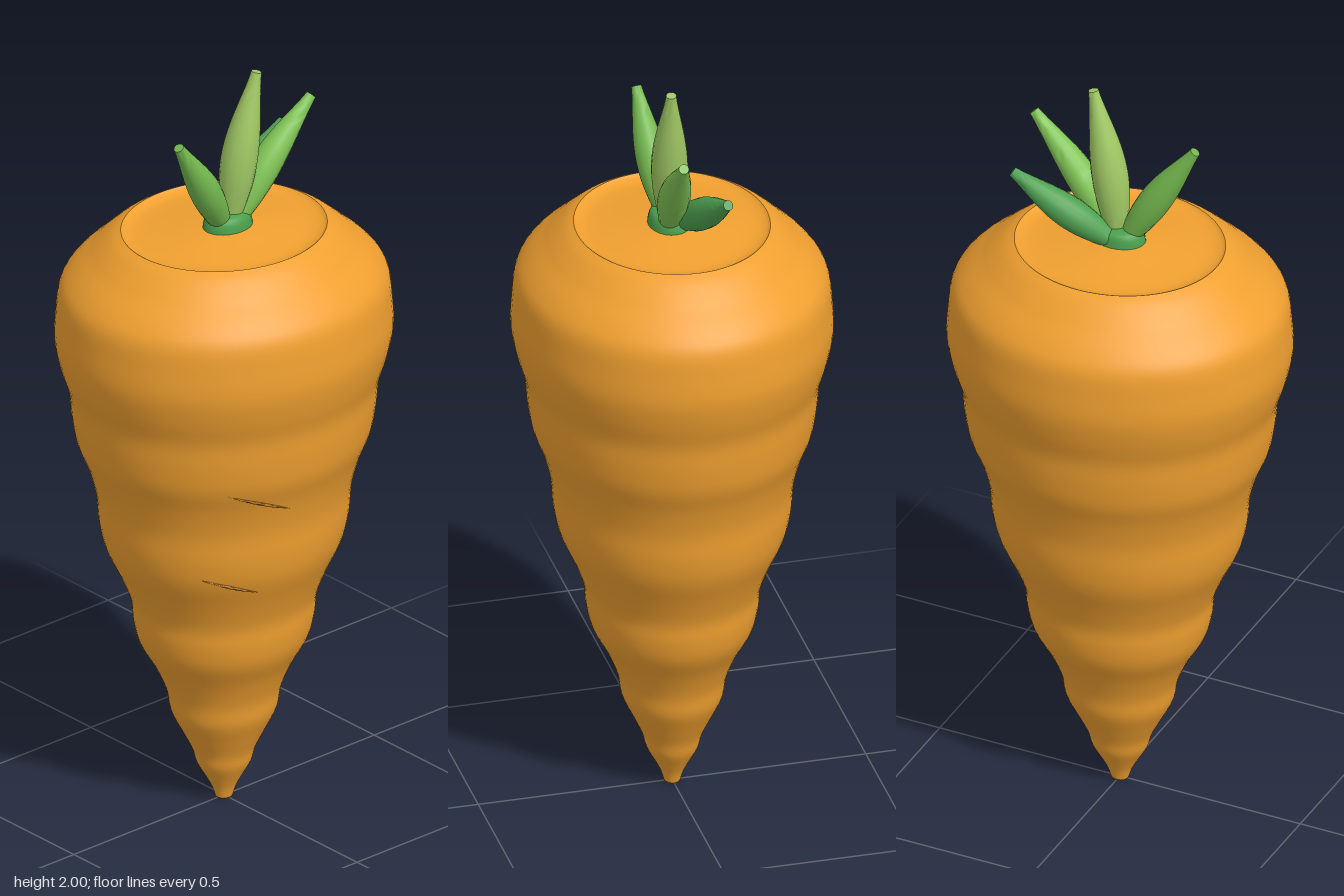
import * as THREE from 'three';
import { toCreasedNormals } from 'three/addons/utils/BufferGeometryUtils.js';

const DEPTH = 0.91; // the root is slightly flattened front to back

// Root silhouette: [radius, height], from tip to shoulder
const PROFILE = [
  [0.022, 0], [0.032, 0.03], [0.048, 0.06], [0.071, 0.1], [0.083, 0.14], [0.108, 0.19],
  [0.138, 0.25], [0.15, 0.31], [0.18, 0.38], [0.22, 0.45], [0.236, 0.51], [0.243, 0.57],
  [0.27, 0.64], [0.308, 0.72], [0.325, 0.79], [0.333, 0.87], [0.355, 0.95], [0.383, 1.02],
  [0.396, 1.09], [0.404, 1.16], [0.426, 1.23], [0.44, 1.3], [0.437, 1.37], [0.427, 1.44],
  [0.395, 1.485], [0.35, 1.525], [0.328, 1.545], [0.295, 1.572], [0.268, 1.587],
];
// Shallow dished top, from rim to centre
const DISH = [[0.268, 1.587], [0.256, 1.58], [0.225, 1.576], [0.15, 1.583], [0.07, 1.592], [0, 1.596]];

const spline = (pts, n) => new THREE.SplineCurve(pts.map(p => new THREE.Vector2(...p))).getPoints(n);
const material = (color, extra = {}) => new THREE.MeshStandardMaterial({ color, ...extra });

function addMesh(parent, name, geometry, color) {
  const mesh = new THREE.Mesh(geometry, material(color));
  mesh.name = name;
  parent.add(mesh);
  return mesh;
}

// Tube of varying radius with flat closed ends
function taperedTube(points, radiusAt, rings = 22, sides = 16) {
  const curve = new THREE.CatmullRomCurve3(points.map(p => new THREE.Vector3(...p)));
  const geo = new THREE.TubeGeometry(curve, rings, 1, sides);
  const pos = geo.attributes.position;
  const v = new THREE.Vector3();
  for (let i = 0; i <= rings; i++) {
    const centre = curve.getPointAt(i / rings);
    const t = THREE.MathUtils.clamp((i - 1) / (rings - 2), 0, 1);
    const r = i === 0 || i === rings ? 0 : radiusAt(t);
    const target = curve.getPointAt(t);
    for (let j = 0; j <= sides; j++) {
      const k = i * (sides + 1) + j;
      v.fromBufferAttribute(pos, k).sub(centre).multiplyScalar(r).add(target);
      pos.setXYZ(k, v.x, v.y, v.z);
    }
  }
  return toCreasedNormals(geo, 0.9);
}

// Root radius at a height
function rootRadius(y) {
  const i = PROFILE.findIndex(p => p[1] > y);
  const [r0, y0] = PROFILE[i - 1], [r1, y1] = PROFILE[i];
  return THREE.MathUtils.mapLinear(y, y0, y1, r0, r1);
}

export function createModel() {
  const model = new THREE.Group();
  model.name = 'carrot';

  // Root body and its dished top
  const body = new THREE.LatheGeometry([new THREE.Vector2(0, 0), ...spline(PROFILE, 110)], 72);
  addMesh(model, 'root', body.scale(1, 1, DEPTH), 0xf0a030);
  const dish = new THREE.LatheGeometry(spline(DISH, 20), 72);
  addMesh(model, 'rootTop', dish.scale(1, 1, DEPTH), 0xf0a030);

  // Thin creases lying on the front of the root
  for (const [x0, y0, x1, y1] of [[-0.23, 1.01, -0.06, 0.937], [-0.253, 0.752, -0.1, 0.692]]) {
    const points = [];
    for (let i = 0; i <= 6; i++) {
      const x = THREE.MathUtils.lerp(x0, x1, i / 6);
      const y = THREE.MathUtils.lerp(y0, y1, i / 6);
      const z = DEPTH * Math.sqrt(rootRadius(y) ** 2 - x * x);
      points.push([x, y, z]);
    }
    addMesh(model, 'crease', taperedTube(points, t => 0.0005 + 0.004 * Math.sin(Math.PI * t), 16, 8), 0xc07c22);
  }

  // Leaves growing from a small crown
  const leaves = new THREE.Group();
  leaves.name = 'leaves';
  model.add(leaves);
  const crownProfile = [[0.07, 1.575], [0.066, 1.605], [0.056, 1.625], [0.03, 1.632], [0, 1.634]];
  const crown = new THREE.LatheGeometry(spline(crownProfile, 12), 24);
  addMesh(leaves, 'crown', crown.scale(1, 1, 0.8).translate(0.005, 0, 0.008), 0x4a9f4d);

  // Narrow foot, full middle, blunt tip
  const leafRadius = width => t =>
    THREE.MathUtils.lerp(0.024, 0.013, t) + (width - 0.018) * Math.sin(Math.PI * Math.pow(t, 0.85)) ** 1.3;
  const leafSpecs = [
    ['rightLeaf', [[-0.015, 1.6, 0.01], [-0.095, 1.735, 0.03], [-0.188, 1.882, 0.042]], 0.039, 0x74b84e],
    ['middleLeaf', [[0.012, 1.6, 0.01], [0.04, 1.79, 0.017], [0.086, 1.998, 0.025]], 0.045, 0xa0c864],
    ['leftLeaf', [[0.025, 1.6, 0.015], [0.13, 1.745, 0.026], [0.257, 1.882, 0.038]], 0.039, 0x80c455],
    ['backLeaf', [[0.015, 1.6, -0.018], [0.15, 1.69, -0.055], [0.262, 1.765, -0.075]], 0.04, 0x4fa152],
  ];
  for (const [name, points, width, color] of leafSpecs) {
    addMesh(leaves, name, taperedTube(points, leafRadius(width)), color);
  }

  return model;
}
